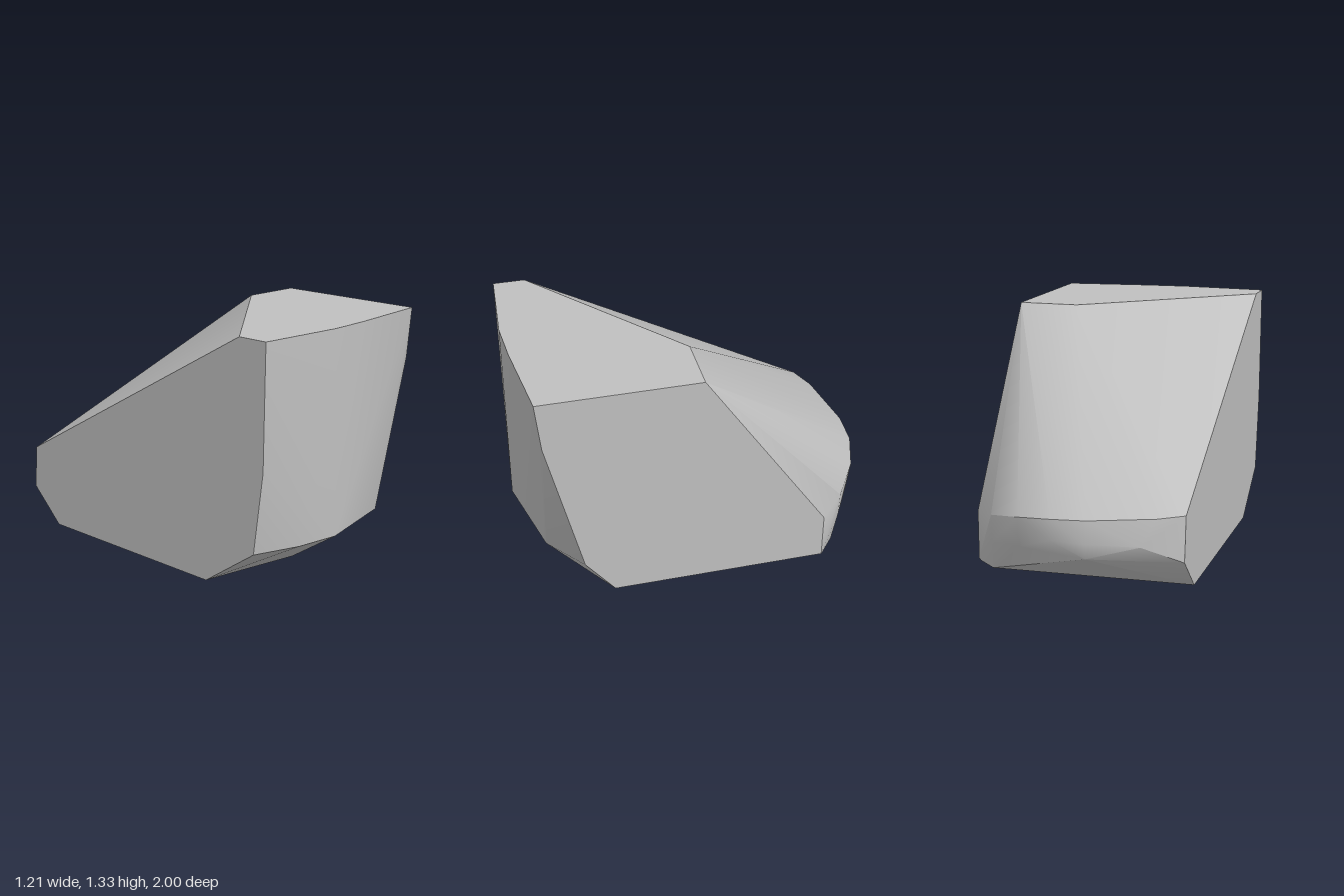
import * as THREE from 'three';
import { ConvexGeometry } from 'three/addons/geometries/ConvexGeometry.js';
import { toCreasedNormals } from 'three/addons/utils/BufferGeometryUtils.js';

// Corner loops of the cut block, from top to bottom, as [x, y, z]
const topRim = [
  [0.27, 1.325, 0.04], [0.605, 1.325, 0.04], [0.605, 1.325, 0.91],
  [0.12, 1.325, 0.968], [-0.12, 1.325, 0.985], [-0.605, 1.325, 0.955], [-0.605, 1.325, 0.78],
];
const frontBulge = [
  [0.605, 1.05, 0.885], [-0.605, 0.67, 0.945],
];
const frontLowerRidge = [
  [-0.605, 0.23, 0.885], [-0.35, 0.23, 0.968], [-0.11, 0.23, 1.0],
  [0.38, 0.23, 0.88], [0.605, 0.23, 0.7],
];
const backUpperRidge = [
  [-0.605, 0.43, -0.845], [-0.47, 0.42, -0.91], [-0.12, 0.4, -0.983], [0.07, 0.39, -0.98],
  [0.27, 0.365, -0.92], [0.47, 0.32, -0.79], [0.605, 0.29, -0.65],
];
const backMiddle = [
  [-0.4, 0.28, -0.96], [-0.12, 0.28, -1.0], [0.07, 0.28, -0.985],
];
const backLowerRidge = [
  [-0.605, 0.19, -0.867], [-0.12, 0.2, -0.99], [0.27, 0.2, -0.9], [0.47, 0.17, -0.785],
];
const base = [
  [-0.605, 0, 0.55], [-0.04, 0.005, 0.65], [0.46, 0.005, 0.575], [0.58, 0.01, 0.55],
  [0.605, 0.02, 0.54], [0.605, 0.02, -0.65], [0.59, 0.01, -0.66],
  [0.48, 0.01, -0.75], [-0.605, 0, -0.66],
];

export function createModel() {
  const stone = new THREE.MeshStandardMaterial({ color: 0xc0c0c0 });
  stone.name = 'stoneGrey';

  // One convex block, smooth over the curved sides and sharp at the cuts
  const points = [topRim, frontBulge, frontLowerRidge, backUpperRidge, backMiddle, backLowerRidge, base]
    .flat().map((p) => new THREE.Vector3(...p));
  const block = new THREE.Mesh(toCreasedNormals(new ConvexGeometry(points), Math.PI / 6), stone);
  block.name = 'cutStoneBlock';

  const group = new THREE.Group();
  group.name = 'stoneFragment';
  group.add(block);
  return group;
}
